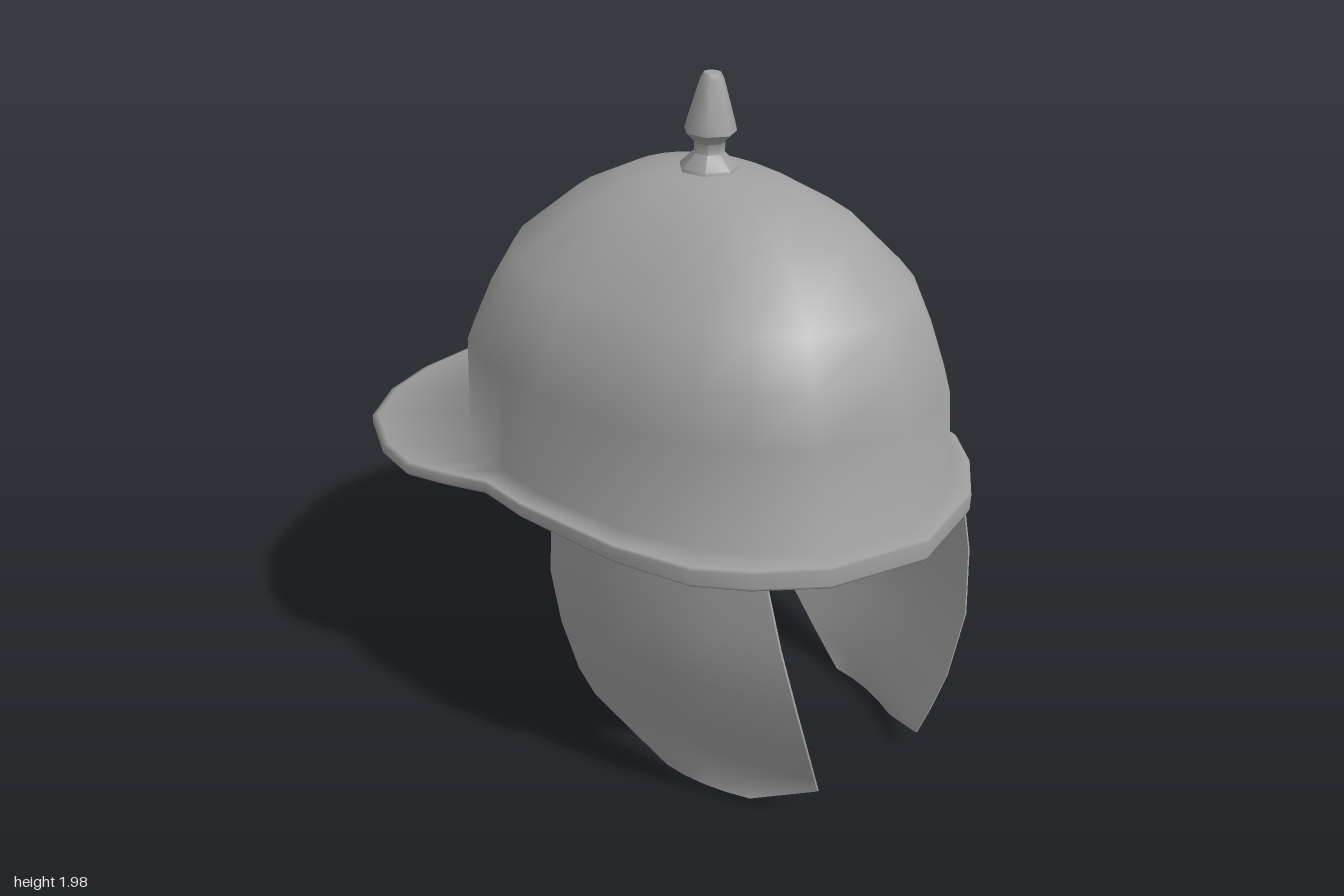
import * as THREE from 'three';
import { toCreasedNormals } from 'three/addons/utils/BufferGeometryUtils.js';

const steel = new THREE.MeshStandardMaterial({ color: 0xa0a0a0, side: THREE.DoubleSide });
steel.name = 'steel';

// Skin a stack of closed rings of [x, y, z] points, ordered bottom to top.
function loft(rings) {
  const n = rings[0].length;
  const index = [];
  for (let r = 0; r < rings.length - 1; r++) {
    for (let i = 0; i < n; i++) {
      const j = (i + 1) % n;
      const a = r * n + i, b = r * n + j, c = b + n, d = a + n;
      index.push(a, b, c, a, c, d);
    }
  }
  const geo = new THREE.BufferGeometry();
  geo.setAttribute('position', new THREE.Float32BufferAttribute(rings.flat(2), 3));
  geo.setIndex(index);
  geo.computeVertexNormals();
  return geo;
}

// Full outline from a half outline running front to back on the +x side.
const mirrored = (half) => [...half, ...half.slice(1, -1).reverse().map(([x, z]) => [-x, z])];

const domeOutline = mirrored([
  [0, 0.94], [0.28, 0.86], [0.41, 0.74], [0.5, 0.61], [0.58, 0.41], [0.615, 0.1], [0.602, -0.06],
  [0.588, -0.14], [0.563, -0.24], [0.53, -0.32], [0.435, -0.415], [0.32, -0.505], [0.17, -0.56], [0, -0.58],
]);
const brimOutline = mirrored([
  [0, 1], [0.3, 0.92], [0.47, 0.79], [0.57, 0.67], [0.64, 0.45], [0.675, 0.1], [0.66, -0.08],
  [0.71, -0.22], [0.745, -0.35], [0.71, -0.52], [0.6, -0.74], [0.43, -0.88], [0.24, -0.96], [0, -1],
]);

// Bowl and brim as one smooth skin: a rolled front ledge widening into a drooping neck guard
function shellGeometry() {
  const top = (z) => 0.87 + (z > 0 ? 0.03 : 0.083) * z;
  const bottom = (z) => 0.832 + (z > 0 ? 0.005 : 0.085) * z;
  const base = (z) => 0.89 + 0.015 * z;
  // Ring part of the way from the dome outline to the brim outline
  const ring = (t, height) => domeOutline.map(([x, z], i) => {
    const [bx, bz] = brimOutline[i];
    const pz = z + (bz - z) * t;
    return [x + (bx - x) * t, height(pz), pz];
  });
  // Bowl rows: height, half width, front z, back z
  const rows = [
    [1.19, 0.608, 0.9, -0.578], [1.33, 0.555, 0.848, -0.525], [1.46, 0.495, 0.785, -0.455],
    [1.61, 0.335, 0.62, -0.285], [1.69, 0.2, 0.41, -0.13], [1.715, 0.09, 0.22, 0.01],
    [1.722, 0.001, 0.121, 0.119],
  ];
  return loft([
    ring(0, base),
    ring(0, (z) => 0.845 - (z > 0 ? 0 : 0.035) * z),
    ring(0.96, bottom),
    ring(1, (z) => bottom(z) + 0.008),
    ring(1, (z) => top(z) - 0.006),
    ring(0.94, (z) => top(z) + 0.002),
    ring(0, base),
    ...rows.map(([y, w, front, back]) => domeOutline.map(([x, z]) =>
      [x * w / 0.615, y, back + (z + 0.58) / 1.52 * (front - back)])),
  ]);
}

// Bowed cheek plate: height, back z, front z, back x, front x
function cheekGeometry(side) {
  const rows = [
    [0.02, 0.46, 0.73, 0.385, 0.31], [0.1, 0.32, 0.9, 0.42, 0.215], [0.17, 0.205, 0.912, 0.45, 0.25],
    [0.28, 0.19, 0.925, 0.5, 0.3], [0.47, 0.18, 0.92, 0.56, 0.365], [0.66, 0.18, 0.88, 0.6, 0.4],
    [0.86, 0.19, 0.82, 0.605, 0.41],
  ];
  const steps = [0, 0.25, 0.5, 0.75, 1];
  const section = ([y, zb, zf, xb, xf], thickness) => {
    const face = (inset) => steps.map((t) =>
      [side * (xb + (xf - xb) * t ** 1.9 - inset * (1 - t * 0.7)), y, zb + (zf - zb) * t]);
    const loop = [...face(0).reverse(), ...face(thickness)];
    return side > 0 ? loop : loop.reverse();
  };
  // The extra zero-thickness first section closes the lower edge.
  return toCreasedNormals(loft([section(rows[0], 0), ...rows.map((row) => section(row, 0.022))]), 0.8);
}

export function createModel() {
  const model = new THREE.Group();
  model.name = 'helmet';

  // The whole helmet leans slightly to one side.
  const body = new THREE.Group();
  body.name = 'helmetBody';
  body.position.x = -0.038;
  body.rotation.set(0, -0.012, -0.04);
  model.add(body);

  function add(name, geometry, x, z) {
    const mesh = new THREE.Mesh(geometry, steel);
    mesh.name = name;
    mesh.position.set(x, 0, z);
    body.add(mesh);
  }

  add('domeAndBrim', shellGeometry(), 0, 0);
  add('leftCheekGuard', cheekGeometry(1), -0.017, 0.005);
  add('rightCheekGuard', cheekGeometry(-1), -0.017, -0.02);

  // Finial on the crown
  const profile = [[0.088, 1.69], [0.085, 1.725], [0.045, 1.765], [0.045, 1.795], [0.076, 1.825],
    [0.07, 1.85], [0.035, 1.97], [0.025, 1.99], [0, 1.99]].map(([r, y]) => new THREE.Vector2(r, y));
  add('finial', toCreasedNormals(new THREE.LatheGeometry(profile, 7), 0.9), 0, 0.12);

  return model;
}
